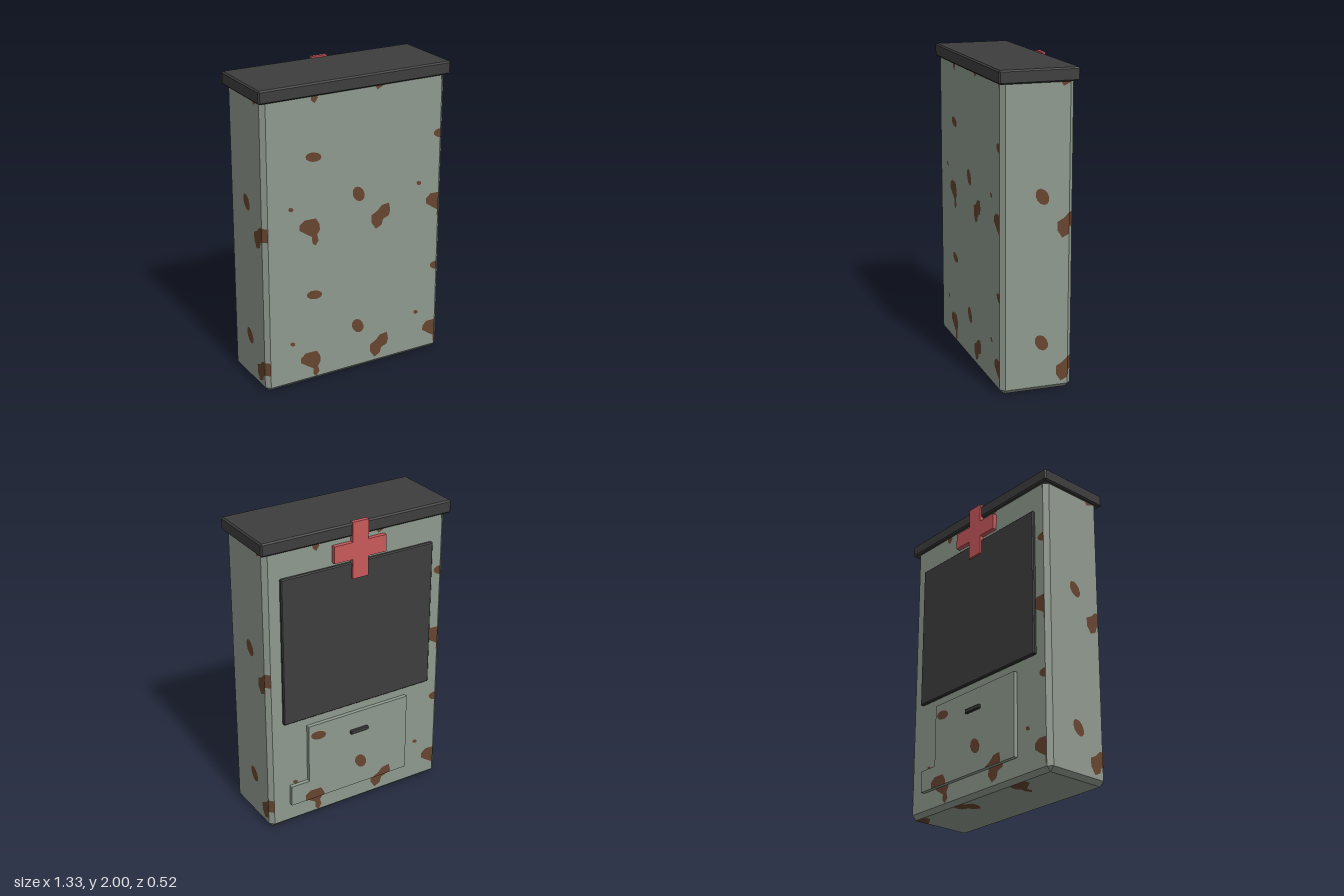
import * as THREE from 'three';
import { ConvexGeometry } from 'three/addons/geometries/ConvexGeometry.js';

const paint = (name, color, extra = {}) =>
  Object.assign(new THREE.MeshStandardMaterial({ color, ...extra }), { name });

// Box between two corners with every edge chamfered by c
function chamferBox(lo, hi, c) {
  const points = [];
  for (let i = 0; i < 8; i++) {
    const pick = [i & 1, (i >> 1) & 1, (i >> 2) & 1];
    for (let full = 0; full < 3; full++) {
      const p = pick.map((side, a) => {
        const inset = a === full ? 0 : c;
        return side ? hi[a] - inset : lo[a] + inset;
      });
      points.push(new THREE.Vector3(...p));
    }
  }
  return new ConvexGeometry(points);
}

const shapeOf = (pts) => new THREE.Shape(pts.map(([x, y]) => new THREE.Vector2(x, y)));

// Outline raised into a plate lying between z0 and z1
function plate(pts, z0, z1) {
  const geo = new THREE.ExtrudeGeometry(shapeOf(pts), { depth: z1 - z0, bevelEnabled: false });
  return geo.translate(0, 0, z0);
}

function ellipse(cx, cy, rx, ry, tilt, n = 12) {
  return Array.from({ length: n }, (_, i) => {
    const a = (i / n) * Math.PI * 2;
    const x = rx * Math.cos(a), y = ry * Math.sin(a);
    return [cx + x * Math.cos(tilt) - y * Math.sin(tilt), cy + x * Math.sin(tilt) + y * Math.cos(tilt)];
  });
}

// Rust stains of one repeating tile
const TILE_U = 0.92, TILE_V = 0.915;
const STAINS = [
  ellipse(-0.30, 0.61, 0.056, 0.03, -0.2),
  ellipse(0.017, 0.312, 0.055, 0.038, -1.0),
  ellipse(-0.458, 0.3, 0.02, 0.014, -0.5, 6),
  [[-0.40, 0.185], [-0.365, 0.212], [-0.285, 0.21], [-0.262, 0.17], [-0.258, 0.13], [-0.278, 0.10],
    [-0.268, 0.06], [-0.29, 0.03], [-0.313, 0.05], [-0.313, 0.092], [-0.35, 0.115], [-0.40, 0.15]],
  [[0.113, 0.15], [0.155, 0.172], [0.187, 0.204], [0.24, 0.21], [0.25, 0.16], [0.24, 0.124],
    [0.198, 0.108], [0.187, 0.07], [0.145, 0.05], [0.113, 0.098]],
];

// Cut an outline along one axis at a limit
function cut(pts, axis, limit, sign) {
  const out = [];
  pts.forEach((p, i) => {
    const q = pts[(i + 1) % pts.length];
    const a = (p[axis] - limit) * sign, b = (q[axis] - limit) * sign;
    if (a >= 0) out.push(p);
    if (a * b < 0) out.push(p.map((v, k) => v + (q[k] - v) * a / (a - b)));
  });
  return out;
}

// All stains falling inside a rectangle
function stains(u0, v0, u1, v1) {
  const shapes = [];
  for (let i = -1; i <= 1; i++) for (let j = 0; j <= 2; j++) for (const s of STAINS) {
    let pts = s.map(([u, v]) => [u + i * TILE_U, v + j * TILE_V]);
    for (const [axis, limit, sign] of [[0, u0, 1], [0, u1, -1], [1, v0, 1], [1, v1, -1]]) {
      pts = cut(pts, axis, limit, sign);
    }
    if (pts.length > 2) shapes.push(shapeOf(pts));
  }
  return new THREE.ShapeGeometry(shapes);
}

export function createModel() {
  const group = new THREE.Group();
  const grey = paint('greyGreenMetal', 0x8f998e);
  const dark = paint('darkMetal', 0x3d3d3d);
  const red = paint('redCross', 0xc8585a);
  const rust = paint('rust', 0x67442f, { side: THREE.DoubleSide });
  const add = (name, geo, mat) => {
    const mesh = new THREE.Mesh(geo, mat);
    mesh.name = name;
    group.add(mesh);
    return mesh;
  };

  // Cabinet and lid
  add('cabinet', chamferBox([-0.643, 0, -0.217], [0.643, 1.95, 0.241], 0.028), grey);
  add('lid', chamferBox([-0.666, 1.907, -0.24], [0.666, 1.99, 0.26], 0.009), dark);

  // Back: display panel, hatch with side tab, handle
  add('backPanel', chamferBox([-0.54, 0.75, -0.237], [0.54, 1.737, -0.2], 0.006), dark);
  add('hatch', plate([[-0.37, 0.145], [0.5, 0.145], [0.5, 0.285], [0.37, 0.285], [0.37, 0.69], [-0.37, 0.69]],
    -0.243, -0.21), grey);
  add('hatchHandle', chamferBox([-0.066, 0.543, -0.26], [0.066, 0.57, -0.235], 0.004), dark);

  // Cross emblem above the panel
  const a = 0.055, b = 0.183;
  const cross = [[a, b], [-a, b], [-a, a], [-b, a], [-b, -a], [-a, -a],
    [-a, -b], [a, -b], [a, -a], [b, -a], [b, a], [a, a]];
  add('cross', plate(cross, -0.25, -0.222).translate(0, 1.817, 0), red);

  // Rust on the four walls: name, turn, distance, left and right limits
  const walls = [
    ['frontRust', 0, 0.2425, -0.615, 0.615],
    ['leftRust', Math.PI / 2, 0.6445, -0.213, 0.189],
    ['backRust', Math.PI, 0.2185, -0.615, 0.615],
    ['rightRust', -Math.PI / 2, 0.6445, -0.189, 0.213],
  ];
  for (const [name, turn, distance, u0, u1] of walls) {
    add(name, stains(u0, 0.028, u1, 1.93).translate(0, 0, distance), rust).rotation.y = turn;
  }
  for (const [u0, u1, top] of [[-0.37, 0.37, 0.69], [-0.5, -0.37, 0.285]]) {
    add('hatchRust', stains(u0, 0.145, u1, top).translate(0, 0, 0.2445), rust).rotation.y = Math.PI;
  }
  const under = add('undersideRust', stains(-0.615, -0.213, 0.615, 0.189), rust);
  under.rotation.x = -Math.PI / 2;
  under.position.y = -0.0015;

  // Rust strips on two opposite corner chamfers
  for (const [x, z, turn] of [[-0.63, 0.228, -Math.PI / 4], [0.63, -0.204, Math.PI * 0.75]]) {
    for (const y of [0.16, 0.16 + TILE_V]) {
      const strip = add('cornerRust', new THREE.PlaneGeometry(0.039, 0.09), rust);
      strip.position.set(x, y, z);
      strip.rotation.y = turn;
    }
  }
  return group;
}
